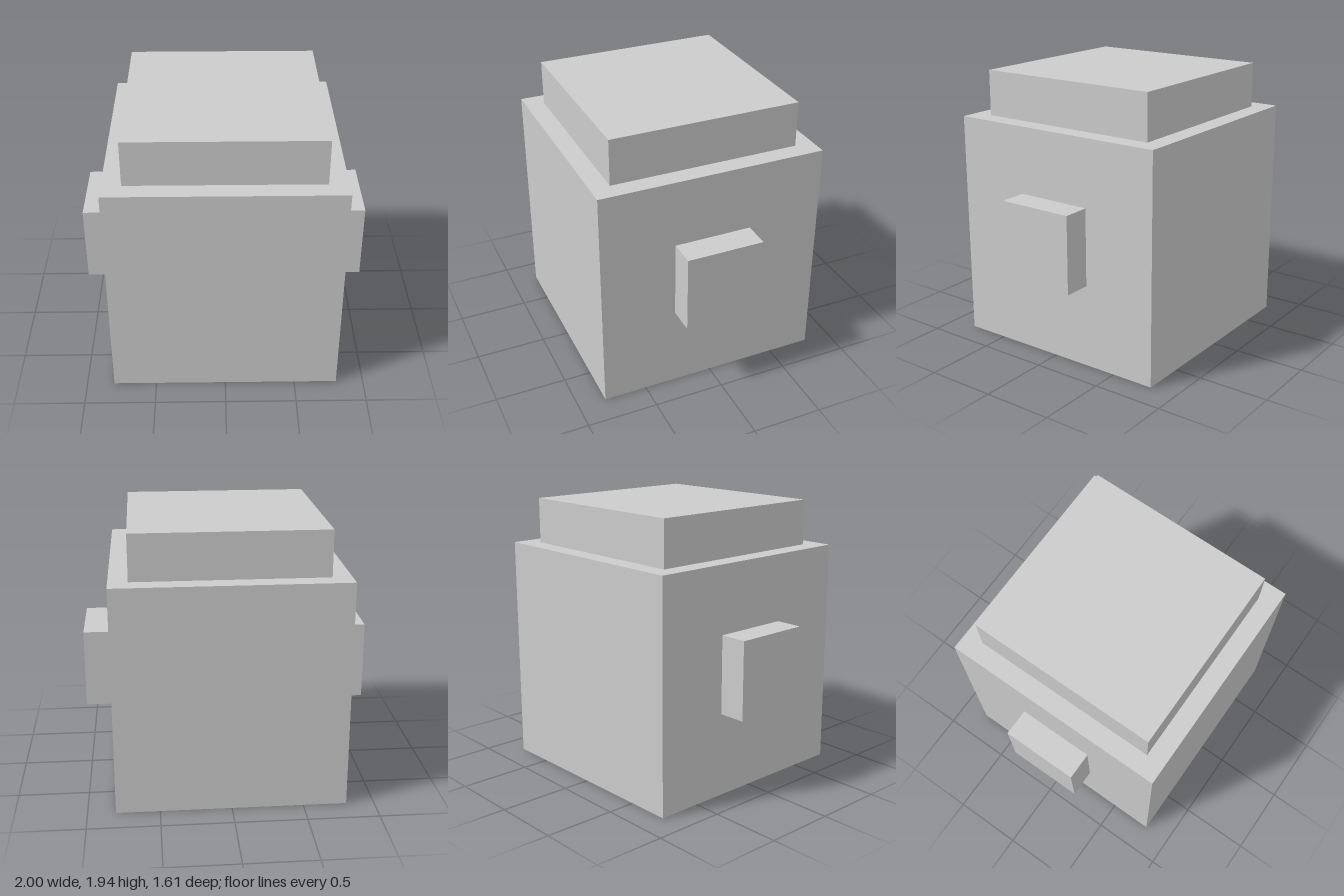
import * as THREE from 'three';

export function createModel() {
  const model = new THREE.Group();
  const material = new THREE.MeshStandardMaterial({ color: 0xcccccc, flatShading: true });

  // Adds a named box whose underside rests at the given height
  function addBox(name, width, height, depth, x, bottom) {
    const mesh = new THREE.Mesh(new THREE.BoxGeometry(width, height, depth), material);
    mesh.name = name;
    mesh.position.set(x, bottom + height / 2, 0);
    model.add(mesh);
  }

  const bodyWidth = 1.61;
  const bodyHeight = 1.615;

  // Main block and the smaller slab on top of it
  addBox('body', bodyWidth, bodyHeight, bodyWidth, 0, 0);
  addBox('lid', 1.342, 0.322, 1.342, 0, bodyHeight);

  // Square knobs on both sides, reaching out to x = 1
  const knobDepth = 1 - bodyWidth / 2;
  for (const [name, side] of [['leftKnob', 1], ['rightKnob', -1]]) {
    addBox(name, knobDepth, 0.55, 0.55, side * (1 - knobDepth / 2), 0.59);
  }

  return model;
}
